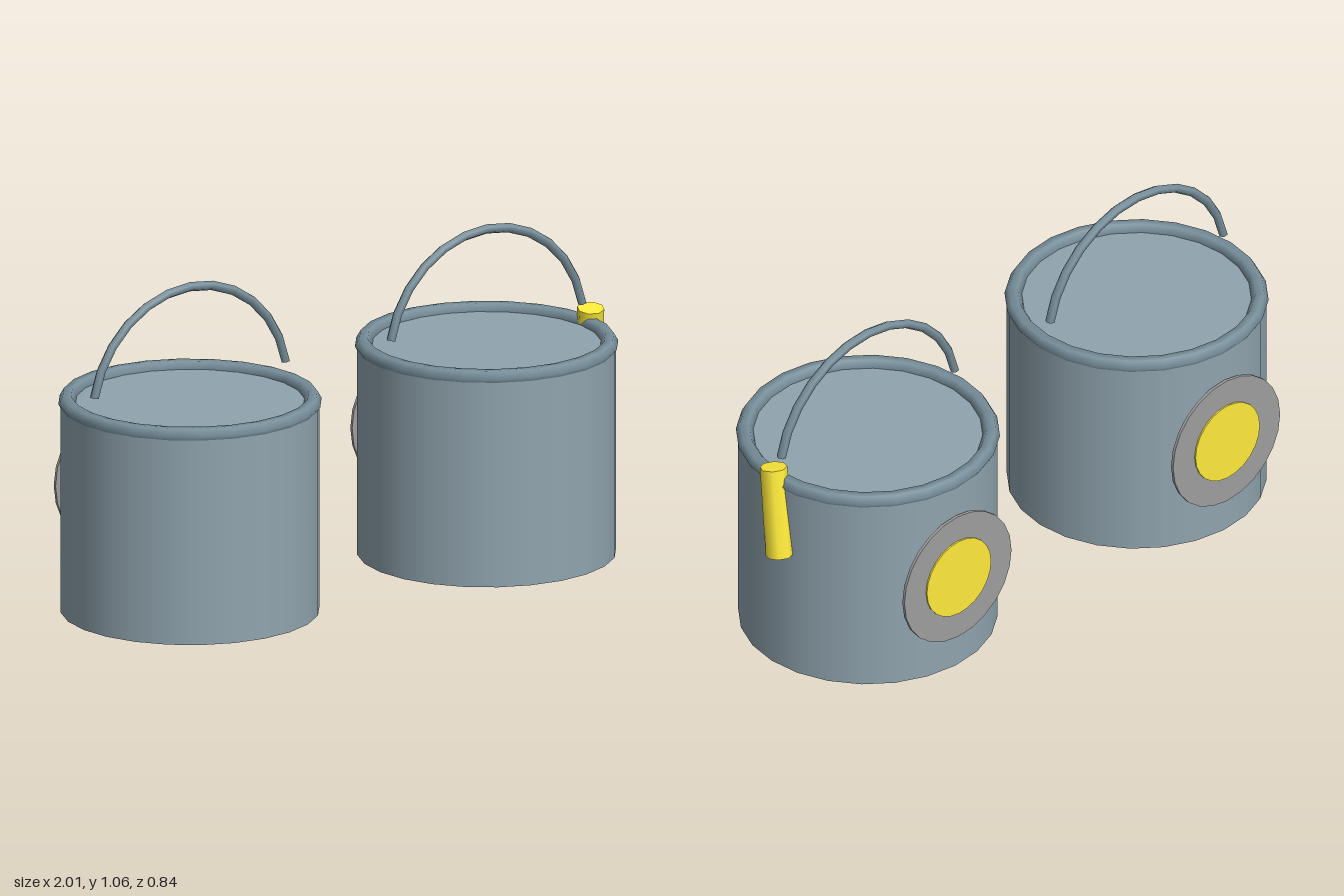
import * as THREE from 'three';

const paint = (color) => new THREE.MeshStandardMaterial({ color });
const bodyMat = paint(0x90a4ae);
const rimMat = paint(0x78909c);
const plateMat = paint(0x9e9e9e);
const yellowMat = paint(0xffeb3b);

const Z = 0.007; // cans sit slightly forward to balance the back plates
const RIM_Y = 0.675;

function add(parent, name, geometry, material, x = 0, y = 0, z = 0) {
  const mesh = new THREE.Mesh(geometry, material);
  mesh.name = name;
  mesh.position.set(x, y, z);
  parent.add(mesh);
  return mesh;
}

function createBucket(name, x) {
  const bucket = new THREE.Group();
  bucket.name = name;
  bucket.position.set(x, 0, Z);

  // closed body with a rolled rim around its lid
  add(bucket, 'body', new THREE.CylinderGeometry(0.405, 0.405, RIM_Y, 24), bodyMat, 0, RIM_Y / 2, 0);
  const rim = new THREE.TorusGeometry(0.385, 0.027, 6, 24).rotateX(-Math.PI / 2);
  add(bucket, 'rim', rim, rimMat, 0, RIM_Y, 0);

  // arched handle, stopping just short of the rim
  const gap = 0.19;
  const arch = new THREE.TorusGeometry(0.371, 0.015, 6, 12, Math.PI - 2 * gap).rotateZ(gap);
  add(bucket, 'handle', arch, rimMat, 0, RIM_Y, 0);

  // round plate and yellow disc on the back
  const disc = (r, depth) => new THREE.CylinderGeometry(r, r, depth, 24).rotateX(Math.PI / 2);
  add(bucket, 'backPlate', disc(0.225, 0.01), plateMat, 0, 0.34, -0.413);
  add(bucket, 'backDisc', disc(0.135, 0.01), yellowMat, 0, 0.34, -0.418);
  return bucket;
}

export function createModel() {
  const model = new THREE.Group();
  model.name = 'bucketPair';
  model.add(createBucket('rightBucket', -0.595), createBucket('leftBucket', 0.535));

  // tilted yellow grip hanging on the outer side of the left bucket
  const top = new THREE.Vector3(0.932, 0.724, 0.007);
  const bottom = new THREE.Vector3(0.956, 0.431, -0.047);
  const axis = top.clone().sub(bottom);
  const grip = add(model, 'grip', new THREE.CylinderGeometry(0.043, 0.043, axis.length(), 8), yellowMat);
  grip.position.copy(top).add(bottom).multiplyScalar(0.5);
  grip.quaternion.setFromUnitVectors(new THREE.Vector3(0, 1, 0), axis.normalize());

  return model;
}
